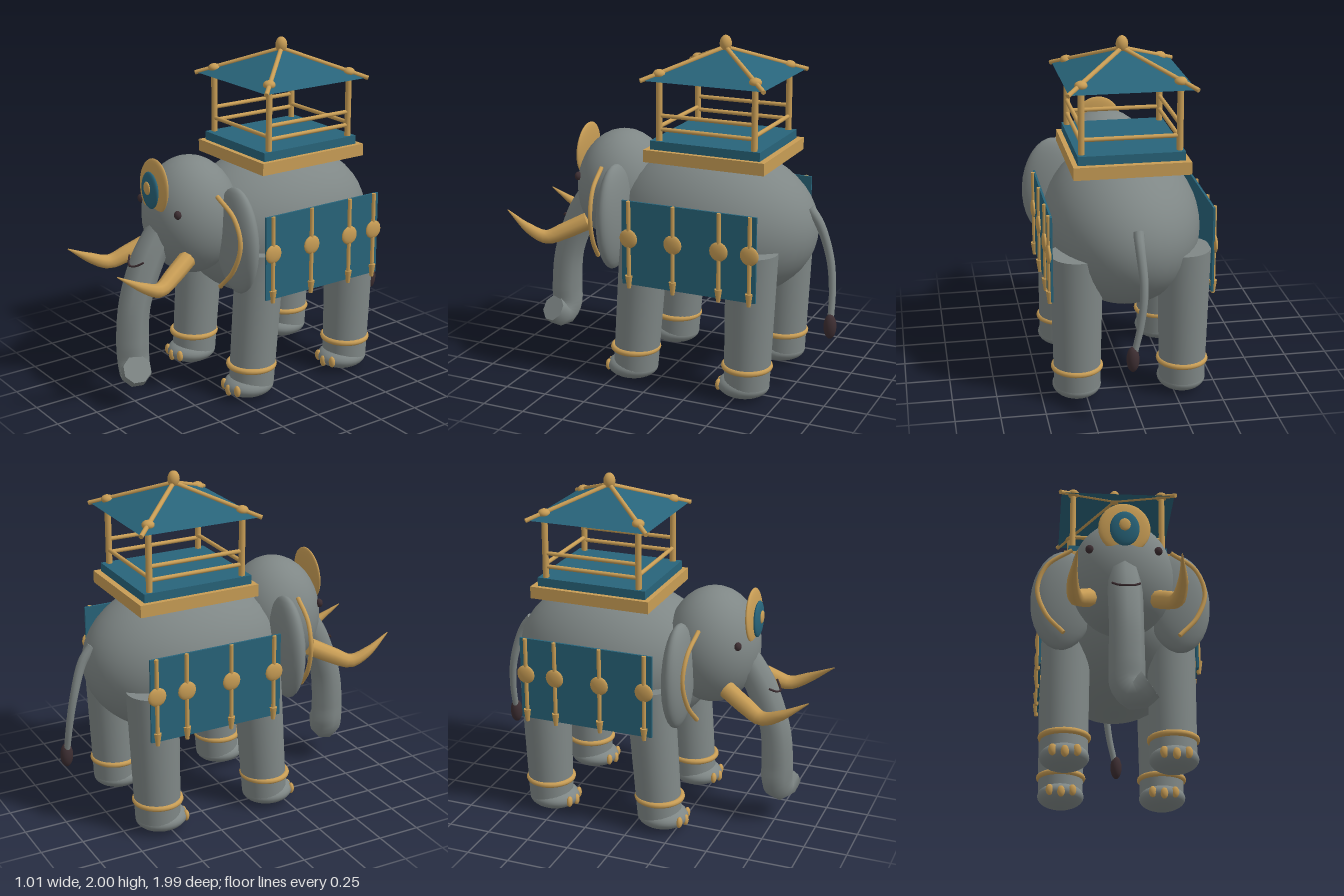
import * as THREE from 'three';

const mat = (name, color, extra = {}) => {
  const m = new THREE.MeshStandardMaterial({ color, ...extra });
  m.name = name;
  return m;
};
const V = (x, y, z) => new THREE.Vector3(x, y, z);

export function createModel() {
  const hide = mat('grey hide', 0x7f8786);
  const gold = mat('gold', 0xc89d55);
  const teal = mat('teal cloth', 0x28647a);
  const tealOpen = teal;
  tealOpen.side = THREE.DoubleSide;
  const dark = mat('dark brown', 0x3d2e32);
  const root = new THREE.Group();
  root.name = 'elephantWithPavilion';

  const add = (name, geo, material, p = [0, 0, 0]) => {
    const m = new THREE.Mesh(geo, material);
    m.name = name;
    m.position.set(...p);
    root.add(m);
    return m;
  };
  const ball = (name, material, p, r, seg = 16) => {
    const g = new THREE.SphereGeometry(1, seg * 2, seg);
    g.scale(...r);
    return add(name, g, material, p);
  };
  const box = (name, material, p, s) => add(name, new THREE.BoxGeometry(...s), material, p);
  // Round bar between two points
  const rod = (name, material, a, b, r0, r1 = r0, seg = 14) => {
    const d = b.clone().sub(a);
    const m = add(name, new THREE.CylinderGeometry(r1, r0, d.length(), seg), material);
    m.position.copy(a).addScaledVector(d, 0.5);
    m.quaternion.setFromUnitVectors(V(0, 1, 0), d.normalize());
    return m;
  };
  // Tube along points with a radius for each point, closed by a flat end
  const taper = (name, material, pts, radii, steps, sides) => {
    const curve = new THREE.CatmullRomCurve3(pts.map(p => V(...p)));
    const g = new THREE.TubeGeometry(curve, steps, 1, sides);
    const pos = g.attributes.position, v = V(0, 0, 0);
    for (let i = 0; i <= steps; i++) {
      const c = curve.getPointAt(i / steps);
      const t = curve.getUtoTmapping(i / steps) * (radii.length - 1);
      const k = Math.min(Math.floor(t), radii.length - 2);
      const r = THREE.MathUtils.lerp(radii[k], radii[k + 1], t - k);
      for (let j = 0; j <= sides; j++) {
        const n = i * (sides + 1) + j;
        v.fromBufferAttribute(pos, n).sub(c).multiplyScalar(r).add(c);
        pos.setXYZ(n, v.x, v.y, v.z);
      }
    }
    add(name, g, material);
    [0, steps].forEach(i => {
      const c = curve.getPointAt(i / steps), fan = [];
      for (let j = 0; j < sides; j++) {
        const a = V(0, 0, 0).fromBufferAttribute(pos, i * (sides + 1) + j);
        const b = V(0, 0, 0).fromBufferAttribute(pos, i * (sides + 1) + j + 1);
        const n = b.clone().sub(a).cross(c.clone().sub(a));
        const out = curve.getTangentAt(i / steps).multiplyScalar(i ? 1 : -1);
        fan.push(...(n.dot(out) > 0 ? [a, b, c] : [b, a, c]));
      }
      const cap = new THREE.BufferGeometry().setFromPoints(fan);
      cap.computeVertexNormals();
      add(name + 'End', cap, material);
    });
  };

  // Body and head
  ball('body', hide, [0, 0.92, -0.24], [0.44, 0.445, 0.6], 24);
  ball('head', hide, [0, 1.06, 0.355], [0.29, 0.34, 0.27], 20);
  taper('trunk', hide,
    [[0, 1.03, 0.53], [0, 0.84, 0.645], [0, 0.6, 0.733], [0, 0.38, 0.755], [0.005, 0.26, 0.755], [0.045, 0.21, 0.77], [0.115, 0.255, 0.795]],
    [0.085, 0.095, 0.092, 0.095, 0.095, 0.09, 0.082], 40, 8);
  taper('mouthLine', dark, [[-0.075, 0.862, 0.715], [-0.04, 0.838, 0.742], [0, 0.83, 0.758], [0.04, 0.838, 0.742], [0.075, 0.862, 0.715]],
    [0.006, 0.006, 0.006, 0.006, 0.006], 16, 6);

  // Forehead ornament
  const plate = ball('foreheadPlate', gold, [0, 1.26, 0.59], [0.145, 0.16, 0.024]);
  plate.rotation.x = -0.06;
  ball('foreheadMedallion', teal, [0, 1.245, 0.617], [0.082, 0.106, 0.021]);
  ball('foreheadJewel', gold, [0, 1.26, 0.637], [0.032, 0.038, 0.01]);

  for (const s of [1, -1]) {
    // Face and ears
    ball('eye', dark, [s * 0.19, 1.14, 0.56], [0.023, 0.025, 0.02], 8);
    const ear = ball('ear', hide, [s * 0.325, 0.97, 0.258], [0.182, 0.305, 0.075]);
    ear.rotation.z = s * 0.05;
    taper('earTrim', gold,
      [[0.28, 1.235, 0.36], [0.42, 1.14, 0.345], [0.47, 1.0, 0.338], [0.42, 0.84, 0.35], [0.32, 0.72, 0.37]].map(p => [s * p[0], p[1], p[2]]),
      [0.013, 0.013, 0.013, 0.013, 0.013], 30, 8);
    taper('tusk', gold,
      [[0.19, 0.875, 0.5], [0.235, 0.81, 0.63], [0.272, 0.768, 0.735], [0.288, 0.81, 0.845], [0.27, 0.9, 0.997]].map(p => [s * p[0], p[1], p[2]]),
      [0.052, 0.05, 0.042, 0.03, 0.003], 16, 9);

    // Legs with feet, anklets and nails
    for (const [name, zTop, zLow, rTop] of [['front', 0.08, 0.14, 0.14], ['back', -0.575, -0.555, 0.147]]) {
      rod(name + 'Leg', hide, V(s * 0.3, 0.08, zLow), V(s * 0.3, 0.87, zTop), 0.13, rTop, 28);
      ball(name + 'Foot', hide, [s * 0.3, 0.07, zLow + 0.02], [0.137, 0.07, 0.15]);
      const ring = add(name + 'Anklet', new THREE.TorusGeometry(0.13, 0.017, 10, 32), gold, [s * 0.3, 0.19, zLow]);
      ring.rotation.x = Math.PI / 2;
      for (const n of [-1, 0, 1]) {
        ball(name + 'Toenail', gold, [s * 0.3 + n * 0.066, n ? 0.072 : 0.06, zLow + (n ? 0.147 : 0.162)], [0.023, 0.034, 0.017], 8);
      }
    }

    // Side cloth with straps, discs and tassels
    box('sideCloth', teal, [s * 0.445, 0.87, -0.253], [0.012, 0.49, 0.805]);
    for (const z of [0.105, -0.165, -0.44, -0.62]) {
      rod('strap', gold, V(s * 0.455, 0.66, z), V(s * 0.455, 1.115, z), 0.012, 0.012, 10);
      ball('strapDisc', gold, [s * 0.458, 0.897, z], [0.016, 0.055, 0.055], 8);
      rod('tassel', gold, V(s * 0.455, 0.605, z), V(s * 0.455, 0.68, z), 0.011, 0.022, 10);
    }
  }

  // Tail
  taper('tail', hide, [[0, 1.06, -0.8], [0, 0.98, -0.86], [-0.01, 0.78, -0.925], [0.01, 0.6, -0.95], [0.05, 0.42, -0.957]],
    [0.03, 0.027, 0.023, 0.02, 0.018], 24, 10);
  ball('tailTuft', dark, [0.055, 0.4, -0.957], [0.035, 0.073, 0.037], 10);

  // Pavilion base and cushion
  const cz = -0.283, px = 0.267, pz = 0.283;
  box('platform', gold, [0, 1.345, cz], [0.64, 0.07, 0.72]);
  box('cushion', teal, [0, 1.405, cz + 0.003], [0.585, 0.05, 0.655]);

  // Open pyramid roof with a finial
  const roof = new THREE.ConeGeometry(Math.SQRT1_2, 0.155, 4, 1, true).toNonIndexed();
  roof.rotateY(Math.PI / 4);
  roof.scale(0.68, 1, 0.71);
  roof.computeVertexNormals();
  add('roof', roof, tealOpen, [0, 1.8525, cz]);
  ball('finial', gold, [0, 1.953, cz], [0.034, 0.047, 0.034]);

  // Posts, roof ribs and rails
  for (const s of [1, -1]) {
    for (const f of [1, -1]) {
      rod('post', gold, V(s * px, 1.42, cz + f * pz), V(s * px, 1.8, cz + f * pz), 0.018);
      ball('postKnob', gold, [s * px, 1.807, cz + f * pz], [0.035, 0.026, 0.035], 10);
      rod('roofRib', gold, V(0, 1.932, cz), V(s * 0.347, 1.775, cz + f * 0.362), 0.013);
    }
    for (const y of [1.495, 1.573]) {
      rod('sideRail', gold, V(s * px, y, cz - pz), V(s * px, y, cz + pz), 0.012);
    }
    rod('endRail', gold, V(-px, 1.51, cz + s * pz), V(px, 1.51, cz + s * pz), 0.012);
  }
  return root;
}
